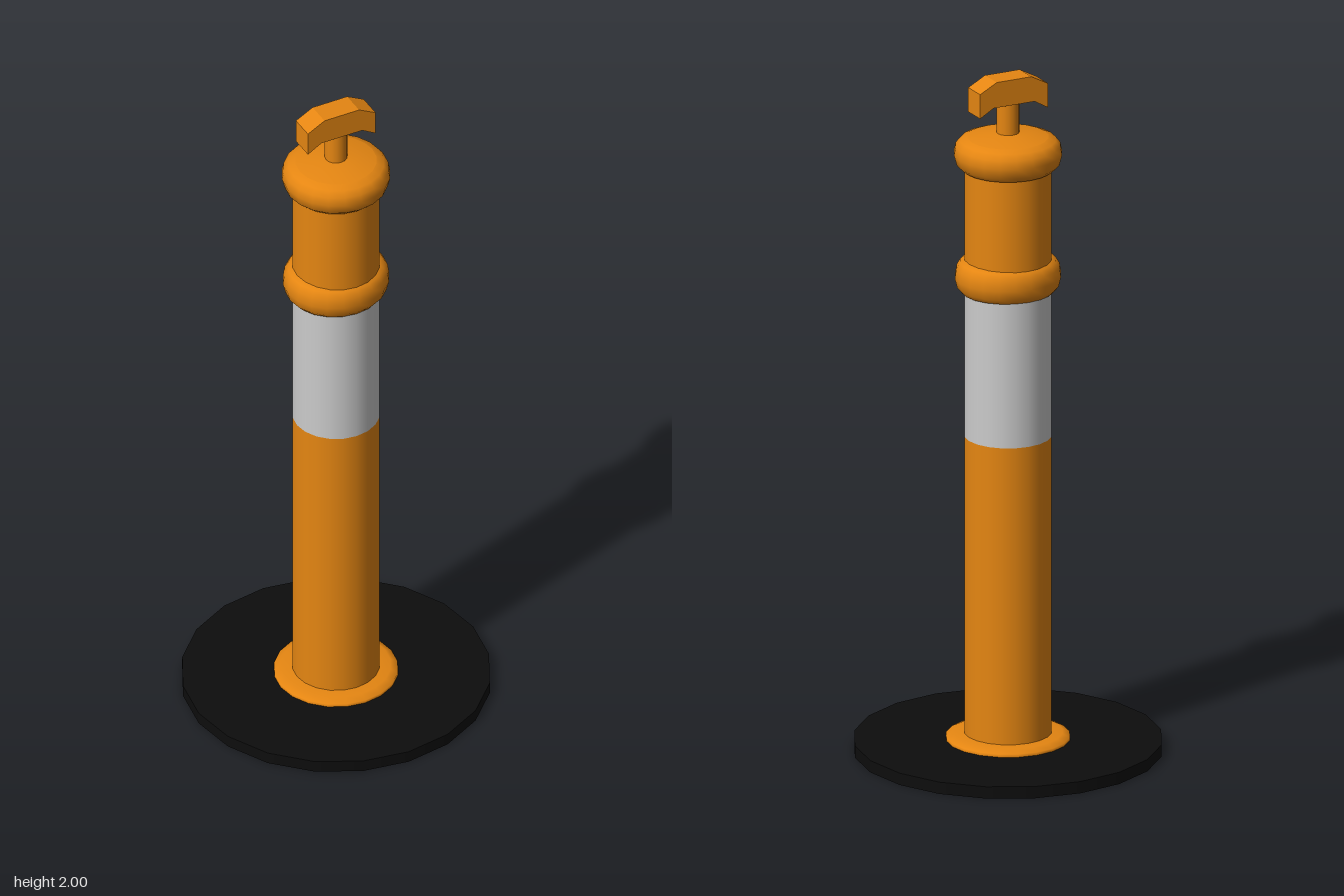
import * as THREE from 'three';

const orange = new THREE.MeshStandardMaterial({ color: 0xe58612 });
const black = new THREE.MeshStandardMaterial({ color: 0x0d0d0d });
const grey = new THREE.MeshStandardMaterial({ color: 0xcccccc });

export function createModel() {
  const group = new THREE.Group();

  const add = (name, geometry, material = orange) => {
    const mesh = new THREE.Mesh(geometry, material);
    mesh.name = name;
    group.add(mesh);
    return mesh;
  };
  // Upright cylinder between two heights
  const post = (name, r, y0, y1, sides, material, open = false) => {
    const g = new THREE.CylinderGeometry(r, r, y1 - y0, sides, 1, open);
    add(name, g.translate(0, (y0 + y1) / 2, 0), material);
  };
  // Turned part from [radius, height] pairs, bottom to top
  const turned = (name, profile) =>
    add(name, new THREE.LatheGeometry(profile.map(([r, y]) => new THREE.Vector2(r, y)), 20));

  // Rubber base and the flange on it
  post('base', 0.437, 0, 0.035, 20, black);
  turned('flange', [[0.176, 0.035], [0.176, 0.044], [0.155, 0.054], [0.11, 0.055]]);

  // Column with a reflective band
  post('lowerColumn', 0.124, 0.035, 0.935, 20, orange, true);
  post('reflectiveBand', 0.124, 0.935, 1.365, 20, grey, true);
  post('upperColumn', 0.124, 1.365, 1.75, 20, orange, true);

  // Collar, slightly narrower front to back
  const collar = turned('collar', [
    [0.11, 1.362], [0.133, 1.364], [0.146, 1.379], [0.153, 1.407],
    [0.149, 1.435], [0.138, 1.453], [0.122, 1.461], [0.11, 1.461],
  ]);
  collar.scale.z = 0.94;

  // Rounded cap with a shallow crown
  turned('cap', [
    [0.11, 1.725], [0.13, 1.727], [0.146, 1.742], [0.154, 1.772],
    [0.149, 1.796], [0.136, 1.812], [0.115, 1.82],
  ]);
  turned('capCrown', [[0.115, 1.82], [0.06, 1.832], [0, 1.835]]);

  // Handle: neck and drooping grip
  post('handleNeck', 0.032, 1.82, 1.93, 16, orange);
  const grip = new THREE.Shape([
    [-0.108, 1.9], [-0.065, 1.925], [0.065, 1.925], [0.108, 1.9],
    [0.108, 1.972], [0.055, 2], [-0.055, 2], [-0.108, 1.972],
  ].map(([x, y]) => new THREE.Vector2(x, y)));
  add('handleGrip', new THREE.ExtrudeGeometry(grip, { depth: 0.072, bevelEnabled: false })
    .translate(0, 0, -0.037));

  return group;
}
